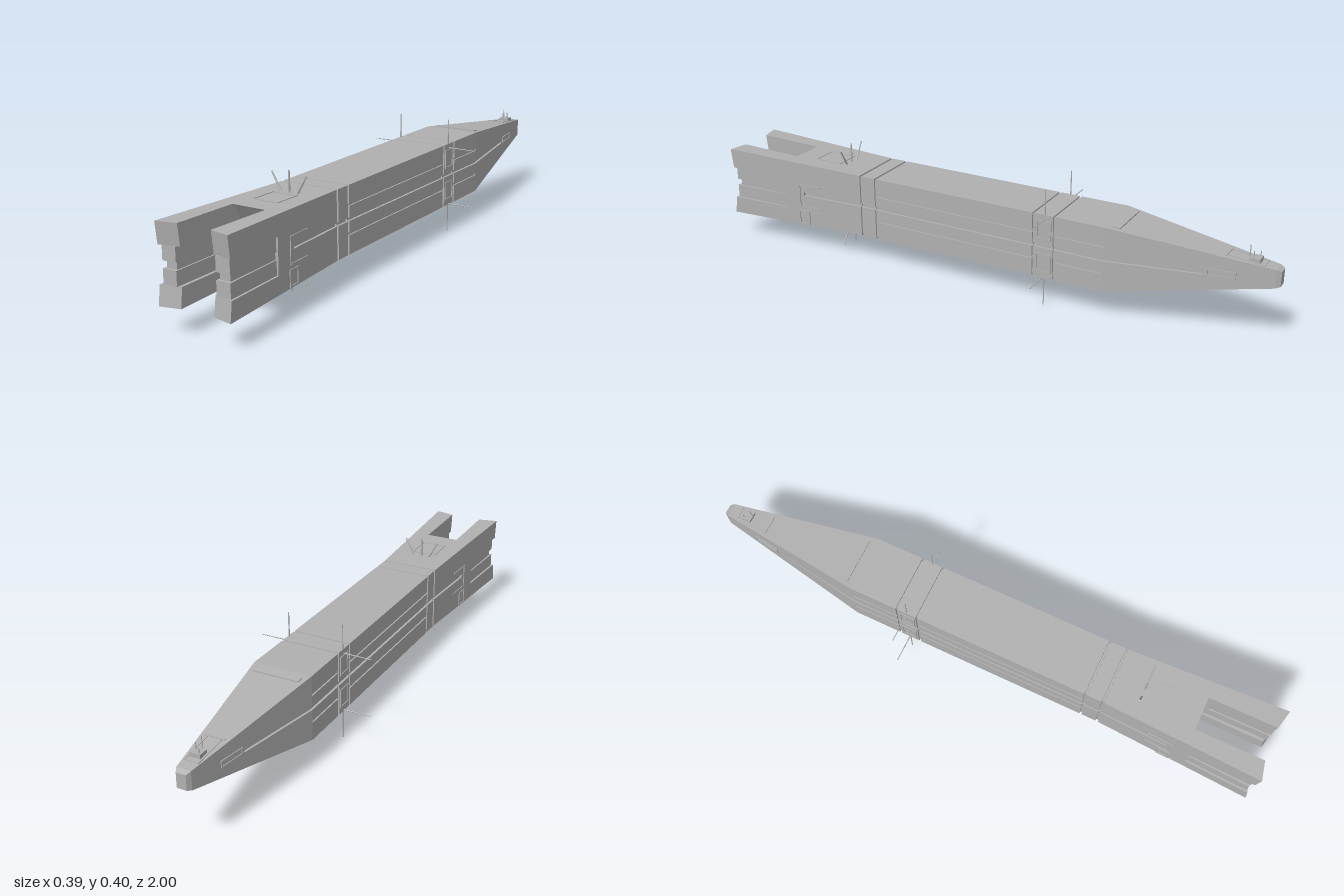
import * as THREE from 'three';

const grey = new THREE.MeshStandardMaterial({ color: 0xb0b0b0, flatShading: true });
grey.name = 'hull grey';

// Hull envelope: z, half width, bottom, top, height fraction of the side trench
const KEYS = [
  [-1, 0.016, 0.208, 0.257, 0.4],
  [-0.985, 0.024, 0.203, 0.264, 0.4],
  [-0.46, 0.1, 0.1, 0.32, 0.5],
  [0.45, 0.1, 0.097, 0.32, 0.51],
  [0.7, 0.111, 0.091, 0.325, 0.51],
  [1, 0.125, 0.085, 0.331, 0.51],
];
function envelope(z) {
  let i = 0;
  while (i < KEYS.length - 2 && z > KEYS[i + 1][0]) i++;
  const a = KEYS[i], b = KEYS[i + 1];
  const t = (z - a[0]) / (b[0] - a[0]);
  const [hw, yb, yt, mid] = [1, 2, 3, 4].map((k) => a[k] + (b[k] - a[k]) * t);
  return { hw, yb, yt, mid };
}

// Closed solid through rings of [x, y, z], counter-clockwise seen from +z
function loft(rings) {
  const n = rings[0].length, index = [];
  for (let r = 0; r < rings.length - 1; r++) {
    for (let i = 0; i < n; i++) {
      const a = r * n + i, b = r * n + ((i + 1) % n);
      index.push(a, b, b + n, a, b + n, a + n);
    }
  }
  const cap = (ring) => THREE.ShapeUtils.triangulateShape(ring.map(([x, y]) => new THREE.Vector2(x, y)), []);
  const last = (rings.length - 1) * n;
  cap(rings[0]).forEach(([a, b, c]) => index.push(a, c, b));
  cap(rings[rings.length - 1]).forEach(([a, b, c]) => index.push(last + a, last + b, last + c));
  const geo = new THREE.BufferGeometry();
  geo.setAttribute('position', new THREE.Float32BufferAttribute(rings.flat(2), 3));
  geo.setIndex(index);
  const flat = geo.toNonIndexed();
  flat.computeVertexNormals();
  return flat;
}

// Rectangular ring whose z may vary with x and y
function rect(xa, xb, ya, yb, z) {
  const x0 = Math.min(xa, xb), x1 = Math.max(xa, xb);
  const y0 = Math.min(ya, yb), y1 = Math.max(ya, yb);
  const zf = typeof z === 'function' ? z : () => z;
  return [[x0, y0], [x1, y0], [x1, y1], [x0, y1]].map(([x, y]) => [x, y, zf(x, y)]);
}

// Hull cross-section with three grooves per side
function section(z, inset, midDepth, sideDepth) {
  const e = envelope(z);
  const hw = e.hw - inset, yb = e.yb + inset, yt = e.yt - inset, h = yt - yb;
  const right = [[hw, yb]];
  for (const [offset, half, depth] of [[-0.21, 0.018, sideDepth], [0, 0.026, midDepth], [0.21, 0.018, sideDepth]]) {
    const y0 = yb + h * (e.mid + offset - half), y1 = yb + h * (e.mid + offset + half);
    right.push([hw, y0], [hw - depth, y0], [hw - depth, y1], [hw, y1]);
  }
  right.push([hw, yt]);
  const left = right.map(([x, y]) => [-x, y]).reverse();
  return [...right, ...left].map(([x, y]) => [x, y, z]);
}

export function createModel() {
  const model = new THREE.Group();
  model.name = 'spaceship';
  const add = (name, geo) => {
    const mesh = new THREE.Mesh(geo, grey);
    mesh.name = name;
    model.add(mesh);
    return mesh;
  };

  // Main hull with ring grooves and long side trenches
  const breaks = [-1, -0.985, -0.77, -0.46, -0.294, -0.286, -0.22, -0.212, 0.386, 0.394, 0.446, 0.454, 0.69, 0.7];
  const rings = [];
  for (let i = 0; i < breaks.length - 1; i++) {
    const z0 = breaks[i], z1 = breaks[i + 1], m = (z0 + z1) / 2;
    const isRing = z1 - z0 < 0.009 && m < 0.5 && m > -0.5;
    const mid = m > -0.77 && m < 0.69 ? 0.008 : 0;
    const side = (m > -0.46 && m < -0.294) || (m > -0.212 && m < 0.386) ? 0.005 : 0;
    for (const z of [z0 + 0.0003, z1 - 0.0003]) rings.push(section(z, isRing ? 0.005 : 0, mid, side));
  }
  add('hull', loft(rings));

  // Overhanging lips of the dock notch
  for (const top of [true, false]) {
    const edge = (z) => (top ? envelope(z).yt : envelope(z).yb);
    const inner = top ? 0.26 : 0.15;
    const back = rect(-0.06, 0.06, inner, edge(0.7), 0.699);
    const front = rect(-0.06, 0.06, inner, edge(0.75), (x, y) => (Math.abs(y - inner) < 1e-6 ? 0.701 : 0.75));
    add(top ? 'upperDockLip' : 'lowerDockLip', loft([back, front]));
  }

  // Thin plates that follow the hull sides, roof and belly
  const sidePlate = (name, s, z0, z1, y0, y1, lift = 0.003) => add(name, loft([z0, z1].map((z) => {
    const { hw } = envelope(z);
    return rect(s * (hw - 0.003), s * (hw + lift), y0, y1, z);
  })));
  const deckPlate = (name, top, x0, x1, z0, z1, lift = 0.002) => add(name, loft([z0, z1].map((z) => {
    const e = envelope(z), y = top ? e.yt : e.yb, d = top ? 1 : -1;
    return rect(x0, x1, y - d * 0.003, y + d * lift, z);
  })));
  const sideFrame = (name, s, z0, z1, y0, y1, w = 0.005) => {
    sidePlate(name, s, z0, z1, y0, y0 + w);
    sidePlate(name, s, z0, z1, y1 - w, y1);
    sidePlate(name, s, z0, z0 + w, y0, y1);
    sidePlate(name, s, z1 - w, z1, y0, y1);
  };
  const deckFrame = (name, top, hx, z0, z1, w = 0.004) => {
    deckPlate(name, top, -hx, hx, z0, z0 + w);
    deckPlate(name, top, -hx, hx, z1 - w, z1);
    deckPlate(name, top, -hx, -hx + w, z0, z1);
    deckPlate(name, top, hx - w, hx, z0, z1);
  };

  for (const s of [-1, 1]) {
    // Docking prongs: upper and lower beams with slanted, undercut ends
    for (const top of [true, false]) {
      const inner = top ? 0.262 : 0.147;
      const ring = (z, end) => {
        const e = envelope(z), outer = top ? e.yt : e.yb;
        return rect(s * 0.058, s * e.hw, inner, outer, (x, y) => !end ? z
          : z - (Math.abs(x) < 0.06 ? 0.015 : 0) - (Math.abs(y - inner) < 1e-6 ? 0.008 : 0));
      };
      add(top ? 'upperProngBeam' : 'lowerProngBeam', loft([ring(0.699), ring(1, true)]));
    }
    // Recessed prong web: flush root, two rails and a deeper core
    add('prongRoot', loft([0.699, 0.77].map((z) => rect(s * 0.066, s * envelope(z).hw, 0.147, 0.262, z))));
    for (const [y0, y1] of [[0.147, 0.193], [0.216, 0.262]]) {
      add('prongRail', loft([rect(s * 0.067, s * 0.108, y0, y1, 0.769), rect(s * 0.069, s * 0.117, y0, y1, 0.985)]));
    }
    add('prongCore', loft([rect(s * 0.072, s * 0.104, 0.19, 0.22, 0.769), rect(s * 0.074, s * 0.11, 0.19, 0.22, 0.975)]));

    // Side panels and frames
    sidePlate('sideBracket', s, 0.62, 0.71, 0.242, 0.247);
    sidePlate('sideBracket', s, 0.705, 0.71, 0.16, 0.247);
    sidePlate('sideBracket', s, 0.62, 0.71, 0.16, 0.165);
    sideFrame('lowerSideHatch', s, 0.67, 0.715, 0.094, 0.148);
    sideFrame('upperBandFrame', s, -0.28, -0.226, 0.235, 0.3);
    sideFrame('lowerBandFrame', s, -0.28, -0.226, 0.12, 0.185);
    sideFrame('bowSideHatch', s, -0.87, -0.78, 0.213, 0.236, 0.004);
  }

  // Deck hatches
  deckFrame('upperDeckHatch', true, 0.045, 0.575, 0.675);
  deckFrame('lowerDeckHatch', false, 0.045, 0.575, 0.675);
  deckPlate('bowDeckStrip', true, -0.08, 0.08, -0.505, -0.482, 0.004);
  deckFrame('bowDeckHatch', true, 0.025, -0.95, -0.83, 0.004);
  deckPlate('bowDeckBar', true, -0.033, 0.033, -0.834, -0.828, 0.003);

  // Antennas: tapered rods between two points
  const rod = (name, a, b, r = 0.0025) => {
    const p = new THREE.Vector3(...a), q = new THREE.Vector3(...b), d = q.clone().sub(p);
    const mesh = add(name, new THREE.CylinderGeometry(r * 0.7, r, d.length(), 6));
    mesh.position.copy(p).add(q).multiplyScalar(0.5);
    mesh.quaternion.setFromUnitVectors(new THREE.Vector3(0, 1, 0), d.normalize());
  };
  for (const s of [-1, 1]) {
    rod('upperSideAntenna', [s * 0.095, 0.305, -0.255], [s * 0.197, 0.304, -0.255], 0.002);
    rod('lowerSideAntenna', [s * 0.095, 0.102, -0.255], [s * 0.197, 0.102, -0.255], 0.002);
    rod('topAntenna', [s * 0.096, 0.315, -0.255], [s * 0.096, 0.404, -0.255]);
    rod('bottomAntenna', [s * 0.096, 0.105, -0.255], [s * 0.096, 0, -0.255]);
  }
  for (const s of [-1, 0, 1]) {
    rod('topFanAntenna', [s * 0.028, 0.318, 0.555], [s * 0.063, s ? 0.38 : 0.39, 0.555], 0.0035);
    rod('bottomFanAntenna', [s * 0.03, 0.098, 0.555], [s * 0.068, s ? 0.024 : 0.013, 0.555], 0.0035);
  }

  // Bow sensor cluster
  const base = add('sensorBase', new THREE.BoxGeometry(0.036, 0.014, 0.034));
  base.position.set(0, 0.276, -0.915);
  for (const [x, z, y] of [[-0.01, -0.925, 0.3], [0.01, -0.91, 0.305], [0, -0.895, 0.318]]) {
    rod('sensorMast', [x, 0.275, z], [x, y, z], 0.002);
  }
  return model;
}
